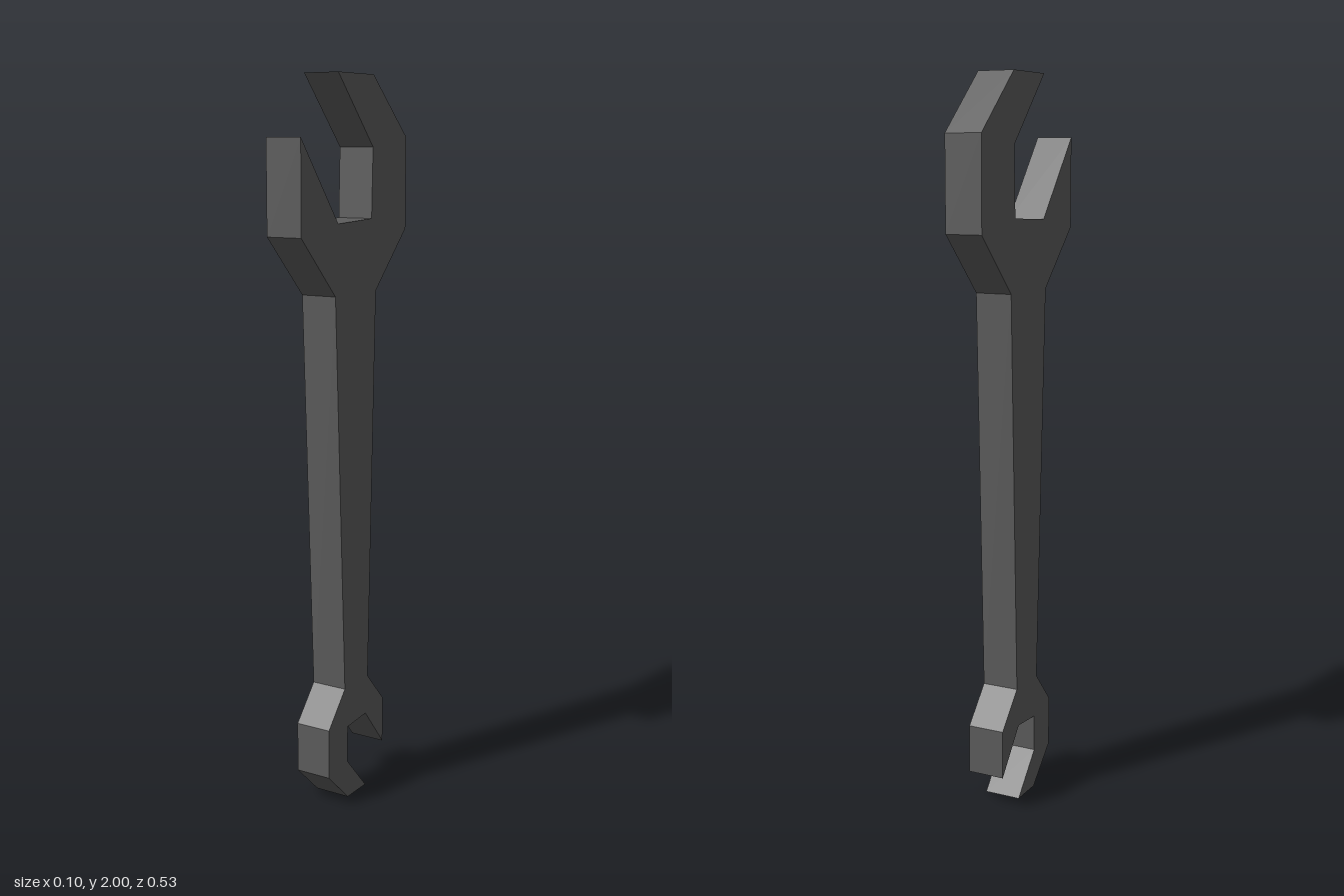
import * as THREE from 'three';

const THICKNESS = 0.104;

// Outline corners as [z, y], running round the tool
const largeJawBack = [[0.09, 2], [-0.086, 2], [-0.262, 1.84], [-0.262, 1.59], [-0.102, 1.43]];
const smallJawBack = [[-0.067, 0.33], [-0.153, 0.235], [-0.153, 0.1], [-0.056, 0.22]];
const smallJawFront = [[0.04, 0.213], [0.043, 0.11], [-0.056, 0], [0.04, 0], [0.139, 0.095], [0.139, 0.235], [0.056, 0.33]];
const largeJawFront = [[0.104, 1.43], [0.264, 1.59], [0.264, 1.837], [0.09, 1.618]];
const largeJawThroat = [[-0.078, 1.625], [-0.084, 1.813]];

export function createModel() {
  const group = new THREE.Group();
  group.name = 'wrench';

  const steel = new THREE.MeshStandardMaterial({ color: 0x5c5c5c });
  steel.name = 'dark steel';

  // Flat double open-ended body: the handle tapers from the large jaw to the small one
  const outline = [...largeJawBack, ...smallJawBack, ...smallJawFront, ...largeJawFront, ...largeJawThroat];
  const shape = new THREE.Shape(outline.map(([z, y]) => new THREE.Vector2(-z, y)));
  const geometry = new THREE.ExtrudeGeometry(shape, { depth: THICKNESS, bevelEnabled: false });
  geometry.translate(0, 0, -THICKNESS / 2);
  geometry.rotateY(Math.PI / 2);

  const body = new THREE.Mesh(geometry, steel);
  body.name = 'wrenchBody';
  group.add(body);
  return group;
}
